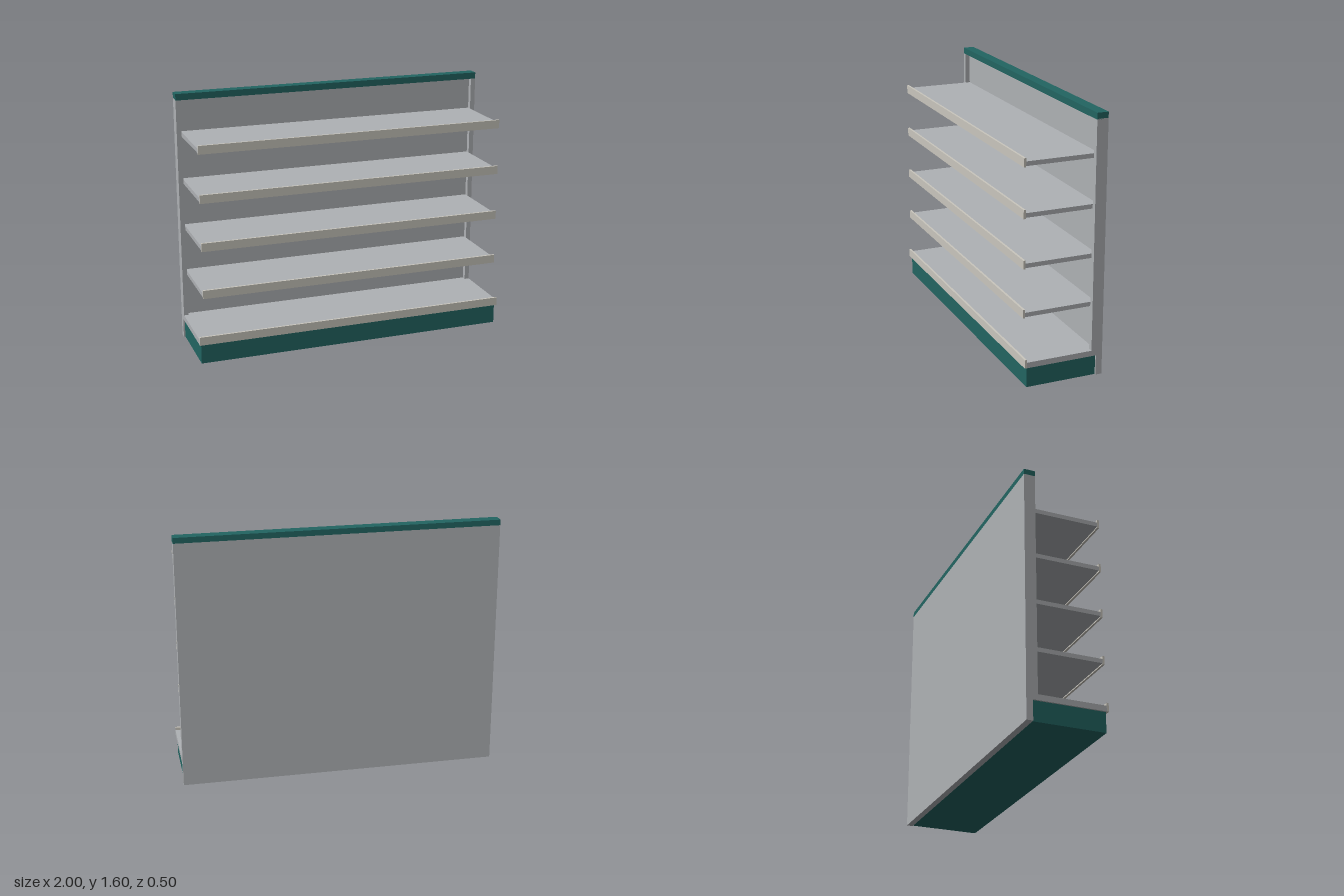
import * as THREE from 'three';

const mat = (name, color) => {
  const m = new THREE.MeshStandardMaterial({ color });
  m.name = name;
  return m;
};

export function createModel() {
  const grey = mat('greySteel', 0xafb2b5);
  const teal = mat('tealTrim', 0x226562);
  const cream = mat('creamRail', 0xcac7be);
  const model = new THREE.Group();
  model.name = 'shelvingUnit';

  // Box given by its half width and its y and z limits, optionally off centre
  const box = (parent, name, material, x0, x1, y0, y1, z0, z1) => {
    const mesh = new THREE.Mesh(new THREE.BoxGeometry(x1 - x0, y1 - y0, z1 - z0), material);
    mesh.position.set((x0 + x1) / 2, (y0 + y1) / 2, (z0 + z1) / 2);
    mesh.name = name;
    parent.add(mesh);
  };

  // Back panel with a post along each side
  box(model, 'backPanel', grey, -1, 1, 0, 1.565, -0.25, -0.21);
  box(model, 'rightPost', grey, -1, -0.97, 0.16, 1.565, -0.21, -0.18);
  box(model, 'leftPost', grey, 0.97, 1, 0.16, 1.565, -0.21, -0.18);

  // Top cap with a slightly lower front edge
  box(model, 'topCap', teal, -1, 1, 1.565, 1.6, -0.25, -0.205);
  box(model, 'topCapFront', teal, -1, 1, 1.56, 1.6, -0.205, -0.18);

  // Plinth
  box(model, 'plinth', teal, -0.99, 0.99, 0, 0.125, -0.21, 0.235);

  // A shelf board with a rail along its front edge
  const addShelf = (name, halfWidth, bottom, top, railBottom) => {
    const shelf = new THREE.Group();
    shelf.name = name;
    box(shelf, 'board', grey, -halfWidth, halfWidth, bottom, top, -0.21, 0.237);
    box(shelf, 'frontRail', cream, -halfWidth, halfWidth, railBottom, railBottom + 0.053, 0.237, 0.25);
    model.add(shelf);
  };
  addShelf('baseShelf', 1, 0.125, 0.16, 0.125);
  for (let i = 0; i < 4; i++) {
    const y = 0.46 + i * 0.3;
    addShelf(`shelf${i + 1}`, 0.97, y - 0.027, y, y - 0.034);
  }
  return model;
}
